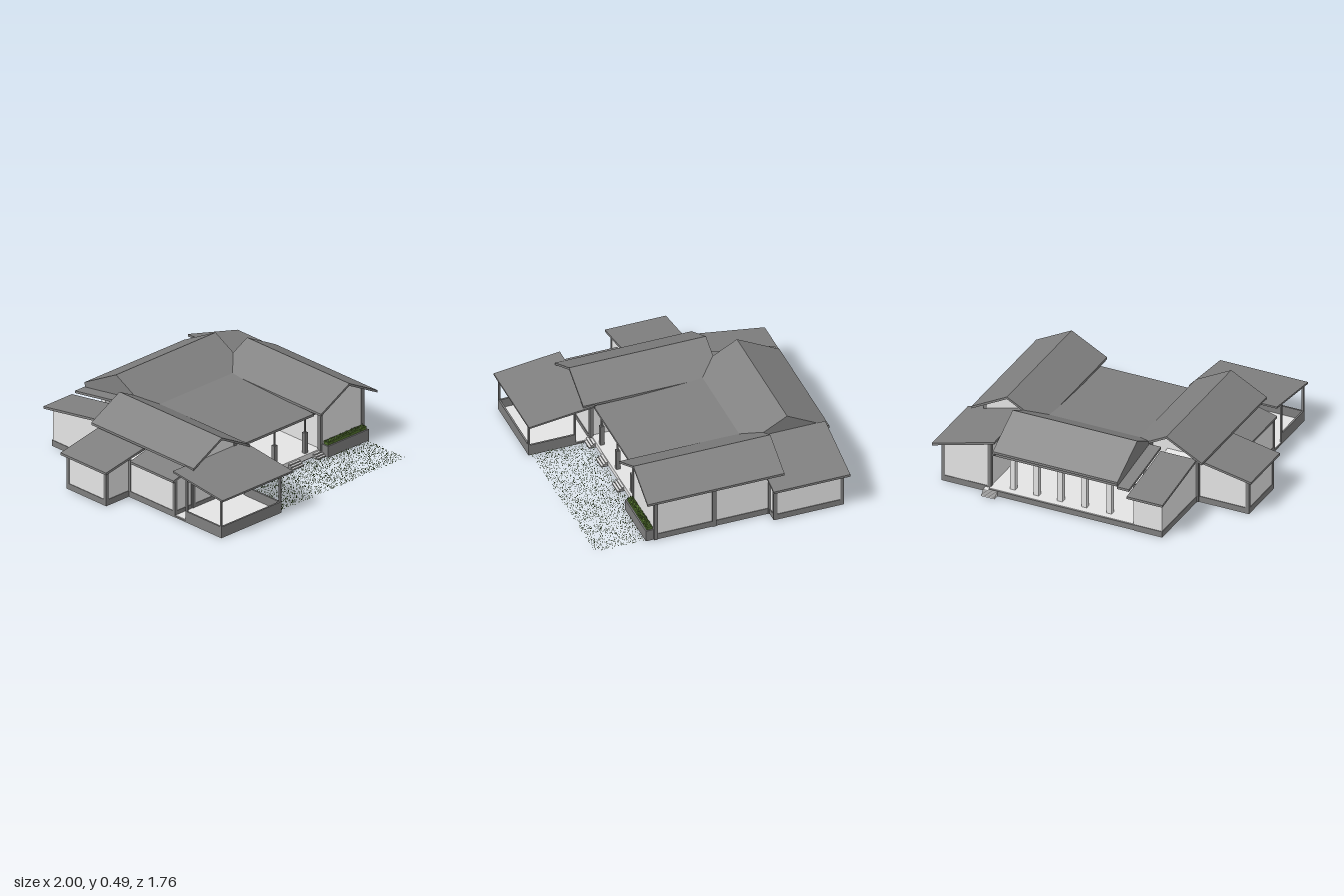
import * as THREE from 'three';

const mat = (name, color, side = THREE.FrontSide) => {
  const m = new THREE.MeshStandardMaterial({ color, side });
  m.name = name;
  return m;
};

export function createModel() {
  const roofGrey = mat('roof grey', 0x808080);
  const trimGrey = mat('trim grey', 0x7e7e7e);
  const wallLight = mat('wall light grey', 0xe4e4e4);
  const leafGreen = mat('leaf green', 0x4f6e2c, THREE.DoubleSide);
  const model = new THREE.Group();
  model.name = 'house';

  const group = (name) => {
    const g = new THREE.Group();
    g.name = name;
    model.add(g);
    return g;
  };

  // Block whose top and bottom heights follow rules of (x, z)
  function slab(parent, name, m, x0, x1, z0, z1, top, bottom) {
    const geo = new THREE.BoxGeometry(1, 1, 1);
    const p = geo.attributes.position;
    const at = (h, x, z) => (typeof h === 'function' ? h(x, z) : h);
    for (let i = 0; i < p.count; i++) {
      const x = p.getX(i) < 0 ? x0 : x1;
      const z = p.getZ(i) < 0 ? z0 : z1;
      p.setXYZ(i, x, at(p.getY(i) > 0 ? top : bottom, x, z), z);
    }
    geo.computeVertexNormals();
    const mesh = new THREE.Mesh(geo, m);
    mesh.name = name;
    parent.add(mesh);
  }
  const box = (parent, name, m, x0, x1, y0, y1, z0, z1) => slab(parent, name, m, x0, x1, z0, z1, y1, y0);
  const roof = (parent, name, x0, x1, z0, z1, f, t = 0.016) =>
    slab(parent, name, roofGrey, x0, x1, z0, z1, f, (x, z) => f(x, z) - t);
  const post = (parent, x, z, top, r = 0.012) =>
    box(parent, 'post', trimGrey, x - r, x + r, 0.004, top, z - r, z + r);

  // Grey base band standing on a light ground slab
  function base(parent, x0, x1, h, z0, z1) {
    box(parent, 'groundSlab', wallLight, x0 + 0.001, x1 - 0.001, 0, 0.006, z0 + 0.001, z1 - 0.001);
    box(parent, 'base', trimGrey, x0, x1, 0.003, h, z0, z1);
  }

  // Two gabled wings
  for (const [name, cx] of [['rightWing', -0.435], ['leftWing', 0.68]]) {
    const g = group(name);
    const f = (x) => 0.465 - Math.abs(x - cx) * 0.53;
    const a = cx - 0.178, b = cx + 0.182;
    for (const [x0, x1] of [[a, cx], [cx, b]]) {
      slab(g, 'gabledWall', wallLight, x0, x1, -0.345, 0.44, (x) => f(x) - 0.012, 0.01);
    }
    roof(g, 'roofSlope', cx - 0.247, cx, -0.41, 0.51, f);
    roof(g, 'roofSlope', cx, cx + 0.247, -0.41, 0.51, f);
    base(g, a - 0.004, b + 0.004, 0.042, -0.349, 0.444);
    for (const x of [a, b]) {
      for (const z of [-0.335, 0.04, 0.433]) post(g, x, z, 0.35);
      box(g, 'eaveBeam', trimGrey, x - 0.006, x + 0.006, 0.325, 0.345, -0.345, 0.44);
    }
  }

  // Single-pitch side rooms
  function room(name, [x0, x1, z0, z1], [rx0, rx1, rz0, rz1], f, posts = true) {
    const g = group(name);
    slab(g, 'walls', wallLight, x0, x1, z0, z1, (x, z) => f(x, z) - 0.012, 0.005);
    roof(g, 'roof', rx0, rx1, rz0, rz1, f);
    base(g, x0 - 0.004, posts ? x1 + 0.004 : x1 - 0.004, 0.042, z0 - 0.004, z1 + 0.004);
    if (!posts) return;
    for (const x of [x0 + 0.008, x1 - 0.008])
      for (const z of [z0 + 0.008, z1 - 0.008]) post(g, x, z, f(x, z) - 0.01);
  }
  const backPitch = (x, z) => 0.267 + (z + 0.885) * 0.16;
  room('backLeftRoom', [0.6, 0.94, -0.8, -0.335], [0.565, 1, -0.825, -0.31], (x) => 0.265 + (1 - x) * 0.27);
  room('backRightRoom', [-0.61, -0.41, -0.83, -0.345], [-0.64, -0.39, -0.885, -0.4], backPitch, false);
  room('sideRoom', [-0.97, -0.61, -0.33, 0.02], [-1, -0.62, -0.36, 0.05], (x) => 0.25 + (x + 1) * 0.19);
  room('sidePassage', [-0.772, -0.61, 0.02, 0.435], [-0.79, -0.62, 0.05, 0.44], (x) => 0.26 + (x + 0.79) * 0.25);

  // Open hall between the wings
  const hall = group('hall');
  const hallRoof = (x, z) => 0.338 - (z + 0.29) * 0.042;
  const backRoof = (x, z) => 0.485 - Math.abs(z + 0.57) * 0.532;
  roof(hall, 'lowRoof', -0.2, 0.445, -0.31, 0.435, hallRoof);
  roof(hall, 'backRoofFront', -0.31, 0.56, -0.57, -0.29, backRoof);
  roof(hall, 'backRoofRear', -0.31, 0.56, -0.855, -0.57, backRoof);
  for (const x of [-0.31, 0.55]) {
    slab(hall, 'gableEnd', roofGrey, x, x + 0.01, -0.57, -0.295, (a, z) => backRoof(a, z) - 0.004, 0.3);
    slab(hall, 'gableEnd', roofGrey, x, x + 0.01, -0.85, -0.57, (a, z) => backRoof(a, z) - 0.004, 0.3);
  }
  roof(hall, 'linkRoof', -0.392, -0.308, -0.855, -0.4, (x, z) => backPitch(x, z) + 0.03);
  box(hall, 'ceiling', roofGrey, -0.3, 0.55, 0.29, 0.3, -0.835, -0.3);
  box(hall, 'backBeam', trimGrey, -0.3, 0.55, 0.3, 0.336, -0.835, -0.81);
  base(hall, -0.41, 0.6, 0.038, -0.83, 0.425);
  box(hall, 'floor', wallLight, -0.41, 0.6, 0.038, 0.043, -0.825, 0.425);
  box(hall, 'floorEdge', wallLight, -0.253, 0.502, 0.008, 0.043, 0.425, 0.431);
  box(hall, 'frontBeam', trimGrey, -0.25, 0.5, 0.285, 0.302, 0.395, 0.415);
  box(hall, 'rail', trimGrey, -0.3, 0.55, 0.1, 0.122, -0.506, -0.494);
  for (const x of [-0.215, -0.04, 0.13, 0.295, 0.46])
    box(hall, 'backColumn', wallLight, x - 0.018, x + 0.018, 0.04, 0.29, -0.778, -0.742);
  for (const x of [-0.145, 0.13, 0.395]) {
    box(hall, 'postPier', trimGrey, x - 0.013, x + 0.013, 0.043, 0.185, 0.39, 0.416);
    box(hall, 'frontPost', trimGrey, x - 0.005, x + 0.005, 0.185, 0.29, 0.398, 0.408);
  }

  // Steps with light treads
  const steps = group('steps');
  for (const x of [-0.225, -0.012, 0.27, 0.484])
    for (let i = 0; i < 3; i++) {
      const h = 0.032 - i * 0.01, z = 0.446 + i * 0.015;
      box(steps, 'frontStep', trimGrey, x - 0.047, x + 0.047, 0.001, h - 0.002, 0.43, z);
      box(steps, 'tread', wallLight, x - 0.047, x + 0.047, h - 0.002, h, 0.43, z);
    }
  for (let i = 0; i < 3; i++)
    box(steps, 'backStep', wallLight, 0.54, 0.635, 0, 0.034 - i * 0.011, -0.844 - i * 0.014, -0.8);

  // Covered terrace
  const terrace = group('terrace');
  const terraceRoof = (x, z) => 0.276 + (0.88 - z) * 0.116;
  roof(terrace, 'roof', -0.79, -0.175, 0.435, 0.88, terraceRoof, 0.012);
  base(terrace, -0.775, -0.25, 0.012, 0.43, 0.855);
  box(terrace, 'floor', wallLight, -0.77, -0.255, 0.012, 0.016, 0.44, 0.85);
  box(terrace, 'frontParapet', trimGrey, -0.775, -0.25, 0.003, 0.078, 0.843, 0.855);
  for (const x of [-0.775, -0.262])
    box(terrace, 'sideParapet', trimGrey, x, x + 0.012, 0.003, 0.078, 0.535, 0.855);
  for (const x of [-0.769, -0.256])
    for (const z of [0.541, 0.849]) post(terrace, x, z, terraceRoof(x, z) - 0.006, 0.006);

  // Planter
  const planter = group('planter');
  box(planter, 'planterBox', trimGrey, 0.505, 0.862, 0.002, 0.08, 0.44, 0.497);
  box(planter, 'hedge', leafGreen, 0.515, 0.852, 0.08, 0.1, 0.45, 0.487);

  // Scattered upright blades, one small triangle each
  let seed = 7;
  const rnd = () => (seed = (seed * 16807) % 2147483647) / 2147483647;
  function scatter(parent, name, n, width, height, [x0, x1, y0, y1, z0, z1]) {
    const pos = [];
    for (let i = 0; i < n; i++) {
      const x = x0 + (x1 - x0) * rnd(), y = y0 + (y1 - y0) * rnd(), z = z0 + (z1 - z0) * rnd();
      const turn = rnd() * Math.PI * 2;
      const dx = Math.cos(turn) * width / 2, dz = Math.sin(turn) * width / 2;
      pos.push(x - dx, y, z - dz, x + dx, y, z + dz, x - dz * 0.8, y + height, z + dx * 0.8);
    }
    const geo = new THREE.BufferGeometry();
    geo.setAttribute('position', new THREE.Float32BufferAttribute(pos, 3));
    geo.computeVertexNormals();
    const mesh = new THREE.Mesh(geo, leafGreen);
    mesh.name = name;
    parent.add(mesh);
  }
  scatter(planter, 'hedgeLeaves', 500, 0.01, 0.008, [0.515, 0.852, 0.088, 0.102, 0.45, 0.487]);
  scatter(model, 'grass', 3600, 0.006, 0.008, [-0.25, 0.855, 0, 0.002, 0.44, 0.835]);

  return model;
}
